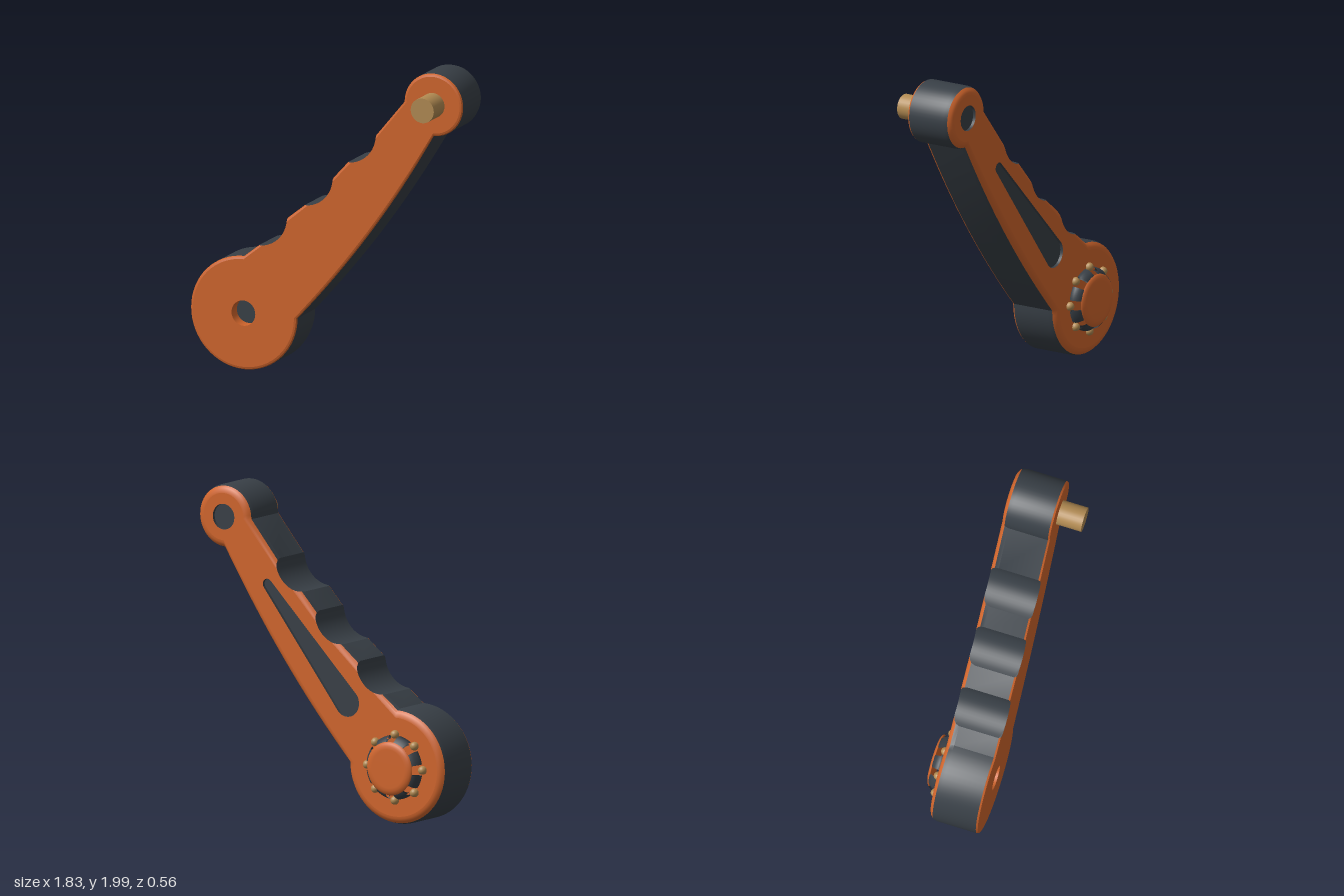
import * as THREE from 'three';
import { toCreasedNormals } from 'three/addons/utils/BufferGeometryUtils.js';

const orange = new THREE.MeshStandardMaterial({ name: 'orange', color: 0xd0652c, side: THREE.DoubleSide });
const charcoal = new THREE.MeshStandardMaterial({ name: 'charcoal', color: 0x383f46, side: THREE.DoubleSide });
const brass = new THREE.MeshStandardMaterial({ name: 'brass', color: 0xb18a52 });

const HUB = [-0.56, 0.36], TIP = [0.715, 1.80];
const BACK = -0.2, FRONT = 0.12;

// Points along a circular arc, each carrying a flag for finger notches
function arc([cx, cy], r, a0, a1, n, notch = 0) {
  return Array.from({ length: n + 1 }, (_, i) => {
    const a = a0 + (a1 - a0) * i / n;
    return [cx + r * Math.cos(a), cy + r * Math.sin(a), notch];
  });
}

// Handle outline, anticlockwise, shrunk by d everywhere except in the notches
function outline(d) {
  const pts = arc(HUB, 0.358 - d, Math.PI / 2, Math.PI * 2, 48);
  const belly = new THREE.QuadraticBezierCurve(
    new THREE.Vector2(-0.202 - d, 0.36),
    new THREE.Vector2(0.325 - 0.8 * d, 0.925 + 0.6 * d),
    new THREE.Vector2(0.715, 1.604 + d));
  for (const p of belly.getPoints(16).slice(1, -1)) pts.push([p.x, p.y, 0]);
  pts.push(...arc(TIP, 0.197 - d, -Math.PI / 2, Math.PI, 40));
  [[0.14, 1.572], [-0.15, 1.272], [-0.458, 0.988]].forEach((c, i) =>
    pts.push(...arc(c, 0.19, -7 * d, -Math.PI / 2 + 7 * d, 14, i + 1)));
  return pts;
}

// Wall between stacked loops; test picks which quads are built
function wall(loops, zs, test = () => true) {
  const n = loops[0].length, pos = [], index = [];
  loops.forEach((loop, k) => loop.forEach(p => pos.push(p[0], p[1], zs[k])));
  for (let k = 0; k < loops.length - 1; k++) {
    for (let i = 0; i < n; i++) {
      const j = (i + 1) % n;
      const notch = loops[k][i][2] > 0 && loops[k][i][2] === loops[k][j][2];
      if (!test(k, notch)) continue;
      const a = k * n + i, b = a + n, c = k * n + j, e = c + n;
      index.push(a, b, e, a, e, c);
    }
  }
  const g = new THREE.BufferGeometry();
  g.setAttribute('position', new THREE.Float32BufferAttribute(pos, 3));
  g.setIndex(index);
  return toCreasedNormals(g, 0.6);
}

// Flat face with holes at depth z
function face(pts, holes, z, back) {
  const toVec = list => list.map(p => new THREE.Vector2(p[0], p[1]));
  const shape = new THREE.Shape(toVec(pts));
  holes.forEach(h => shape.holes.push(new THREE.Path(toVec(h))));
  const g = new THREE.ShapeGeometry(shape).translate(0, 0, z);
  if (back) {
    g.setIndex(Array.from(g.index.array).reverse());
    const nrm = g.attributes.normal;
    for (let i = 0; i < nrm.count; i++) nrm.setZ(i, -1);
  }
  return g;
}

// Tapered slot with rounded ends
function slotPoints() {
  const a = Math.atan2(0.68, 0.59);
  return [
    ...arc([-0.2, 0.73], 0.09, a + 1.66, a + 2 * Math.PI - 1.66, 18),
    ...arc([0.39, 1.41], 0.034, a - 1.48, a + 1.48, 12),
  ];
}

export function createModel() {
  const model = new THREE.Group();
  model.name = 'handle';
  const add = (name, geometry, material, parent = model) => {
    const m = new THREE.Mesh(geometry, material);
    m.name = name;
    parent.add(m);
    return m;
  };

  // Body: dark sides and notches, orange rounded rims
  const zs = [FRONT, 0.116, 0.105, -0.15, -0.176, -0.19, -0.198, BACK];
  const insets = [0.018, 0.006, 0, 0, 0.0073, 0.02, 0.036, 0.05];
  const loops = insets.map(outline);
  const isDark = (k, notch) => notch || k === 2 || k === 3;
  add('gripSides', wall(loops, zs, isDark), charcoal);
  add('coverRims', wall(loops, zs, (k, notch) => !isDark(k, notch)), orange);

  // Covers with their openings
  const hubHole = arc(HUB, 0.08, 0, Math.PI * 2, 32).slice(0, -1);
  const tipHole = arc(TIP, 0.08, 0, Math.PI * 2, 32).slice(0, -1);
  const slot = slotPoints();
  add('frontCover', face(loops[0], [hubHole], FRONT, false), orange);
  add('backCover', face(loops[loops.length - 1], [tipHole, slot], BACK, true), orange);

  // Recesses
  add('hubHoleWall', wall([hubHole, hubHole], [0.04, FRONT]), orange);
  add('hubHoleFloor', face(hubHole, [], 0.04, false), charcoal);
  [['tipHole', tipHole], ['slot', slot]].forEach(([name, pts]) => {
    add(name + 'Wall', wall([pts, pts], [BACK, BACK + 0.02]), charcoal);
    add(name + 'Floor', face(pts, [], BACK + 0.02, true), charcoal);
  });

  // Front peg
  const peg = add('peg', new THREE.CylinderGeometry(0.078, 0.078, 0.18, 32), brass);
  peg.rotation.x = Math.PI / 2;
  peg.position.set(TIP[0], TIP[1], 0.19);

  // Open domed knob on the back; local y points backwards
  const knob = new THREE.Group();
  knob.name = 'knob';
  knob.position.set(HUB[0], HUB[1], BACK);
  knob.rotation.x = -Math.PI / 2;
  model.add(knob);
  const profile = list => list.map(([r, h]) => new THREE.Vector2(r, h));
  add('knobCap', new THREE.LatheGeometry(profile([
    [0, 0.06], [0.165, 0.06], [0.166, 0.064], [0.155, 0.073], [0.138, 0.079], [0.12, 0.08], [0, 0.08],
  ]), 48), orange, knob);
  const leg = profile([
    [0.18, 0], [0.2, 0], [0.197, 0.022], [0.186, 0.044], [0.166, 0.064],
    [0.15, 0.061], [0.17, 0.04], [0.178, 0.02], [0.18, 0],
  ]);
  for (let i = 0; i < 8; i++) {
    const a = i * Math.PI / 4;
    add('knobLeg', new THREE.LatheGeometry(leg, 6, a + Math.PI / 8 - 0.22, 0.44), charcoal, knob);
    const bead = add('bead', new THREE.CapsuleGeometry(0.027, 0.012, 6, 16), brass, knob);
    bead.position.set(0.205 * Math.sin(a), 0.001, 0.205 * Math.cos(a));
  }
  return model;
}
